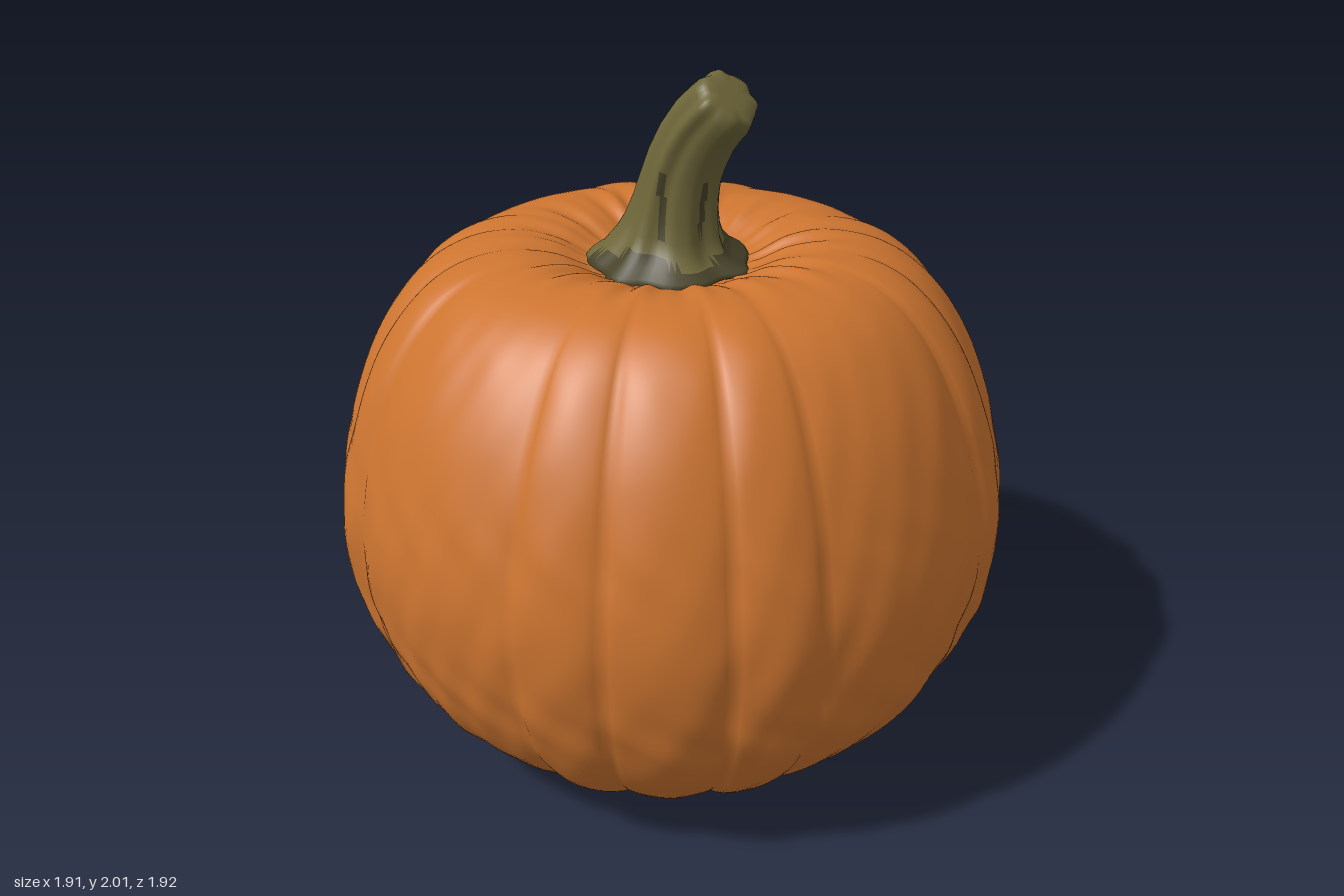
import * as THREE from 'three';
import { mergeVertices } from 'three/addons/utils/BufferGeometryUtils.js';

const V2 = (p) => new THREE.Vector2(p[0], p[1]);
const bell = (x, centre, width) => Math.exp(-(((x - centre) / width) ** 2));

// Smooth closed lathe whose vertices are moved by a rule (position, angle)
function sculpt(points, segments, rule) {
  let geo = new THREE.LatheGeometry(points, segments);
  geo.deleteAttribute('uv');
  geo.deleteAttribute('normal');
  geo = mergeVertices(geo, 1e-5);
  const pos = geo.attributes.position;
  const v = new THREE.Vector3();
  for (let i = 0; i < pos.count; i++) {
    v.fromBufferAttribute(pos, i);
    rule(v, Math.atan2(v.x, v.z));
    pos.setXYZ(i, v.x, v.y, v.z);
  }
  geo.computeVertexNormals();
  return geo;
}

// Four broad lobes with three narrow ones between each pair
const GROOVES = [-20, 20, 35, 55, 70];
function lobe(angle) {
  let deg = (((angle * 180) / Math.PI) % 90 + 90) % 90;
  if (deg >= 70) deg -= 90;
  let k = 0;
  while (k < 3 && deg >= GROOVES[k + 1]) k++;
  const t = (deg - GROOVES[k]) / (GROOVES[k + 1] - GROOVES[k]);
  const round = Math.pow(Math.max(0, Math.sin(Math.PI * t)), 0.6);
  return round * (k === 0 ? 0.014 : 0.026);
}

function bodyGeometry() {
  const profile = new THREE.SplineCurve([
    [0, 0.07], [0.12, 0.068], [0.22, 0.06], [0.32, 0.03], [0.44, 0.01],
    [0.61, 0.08], [0.77, 0.23], [0.87, 0.39], [0.925, 0.58], [0.94, 0.78],
    [0.9, 1.0], [0.82, 1.22], [0.71, 1.385], [0.59, 1.475], [0.45, 1.51],
    [0.33, 1.495], [0.23, 1.45], [0.12, 1.43], [0, 1.43],
  ].map(V2));
  return sculpt(profile.getPoints(130), 288, (v, a) => {
    const r = Math.hypot(v.x, v.z);
    if (r < 1e-4) return;
    const side = v.y > 0.76 ? 1 : -1;
    const bulge = lobe(a) * THREE.MathUtils.smoothstep(r, 0.2, 0.75);
    // Shallow dents, rougher towards the bottom
    const rough = (0.0016 + 0.002 * bell(v.y, 0.45, 0.35)) * THREE.MathUtils.smoothstep(r, 0.4, 0.8);
    const dents = rough * (Math.sin(23 * a + 9 * v.y + 2 * Math.sin(13 * v.y))
      + Math.sin(37 * a - 17 * v.y + 2 * Math.sin(5 * a)) * 0.7);
    // Radial creases running into the hollows
    const crease = 0.006 * bell(r, 0.34, 0.13)
      * (Math.sin(20 * a + 2 * Math.sin(3 * a)) + 0.5 * Math.sin(33 * a + 1));
    const s = (r + bulge + dents) / r;
    v.x *= s;
    v.z *= s;
    v.y += side * (crease + bulge * 0.4 * (1 - r / 0.95));
  });
}

function stemGeometry() {
  const path = new THREE.CatmullRomCurve3([
    [-0.01, 1.44], [0, 1.52], [0.022, 1.63], [0.058, 1.75], [0.125, 1.86], [0.222, 1.955],
  ].map(([x, y]) => new THREE.Vector3(x, y, 0)));
  // Radius against distance along the path, with a blunt rounded tip
  const profile = [
    [0.215, 0], [0.228, 0.015], [0.215, 0.04], [0.18, 0.08], [0.15, 0.14], [0.132, 0.21],
    [0.118, 0.31], [0.11, 0.42], [0.104, 0.54], [0.1, 0.66], [0.096, 0.78], [0.092, 0.88],
    [0.09, 0.94], [0.082, 0.98], [0.068, 0.997], [0.04, 1], [0, 1],
  ].map(V2);
  const c = new THREE.Vector3();
  const tan = new THREE.Vector3();
  return sculpt(profile, 72, (v, a) => {
    const t = v.y;
    path.getPointAt(t, c);
    path.getTangentAt(t, tan);
    const rib = 1 + 0.055 * Math.sin(7 * a + 0.8 + 0.8 * t) + 0.025 * Math.sin(11 * a + 2 * t);
    const x = v.x * rib;
    const z = v.z * rib;
    v.set(c.x + tan.y * x, c.y - tan.x * x, z);
    // Keep the base flare level
    if (t < 0.12) v.y = THREE.MathUtils.lerp(c.y, v.y, t / 0.12);
  });
}

// Sort faces into two material groups
function splitFaces(geo, isDark) {
  const idx = geo.index.array;
  const pos = geo.attributes.position;
  const lists = [[], []];
  const m = new THREE.Vector3();
  const v = new THREE.Vector3();
  for (let i = 0; i < idx.length; i += 3) {
    m.set(0, 0, 0);
    for (let j = 0; j < 3; j++) m.add(v.fromBufferAttribute(pos, idx[i + j]));
    m.divideScalar(3);
    lists[isDark(m) ? 1 : 0].push(idx[i], idx[i + 1], idx[i + 2]);
  }
  geo.setIndex([...lists[0], ...lists[1]]);
  geo.addGroup(0, lists[0].length, 0);
  geo.addGroup(lists[0].length, lists[1].length, 1);
  return geo;
}

export function createModel() {
  const material = (name, color) => {
    const m = new THREE.MeshStandardMaterial({ color });
    m.name = name;
    return m;
  };
  const orange = material('orange skin', 0xcc7430);
  const olive = material('olive stem', 0x6e6639);
  const darkOlive = material('dark olive', 0x48432a);

  const group = new THREE.Group();
  group.name = 'pumpkin';
  const add = (name, geo, mat) => {
    const mesh = new THREE.Mesh(geo, mat);
    mesh.name = name;
    group.add(mesh);
    return mesh;
  };

  add('body', bodyGeometry(), orange);

  // Stem with a dark collar and a few dark furrows
  const stem = splitFaces(stemGeometry(), (p) => {
    const a = Math.atan2(p.x, p.z);
    const collar = p.y > 1.445 && p.y < 1.495 + 0.02 * Math.sin(3 * a + 1) && a > -2.6 + 0.5 * Math.sin(9 * p.y)
      && !(a > -2 && a < -0.7);
    const furrow = p.y > 1.56 && p.y < 1.72 && Math.sin(7 * a + 0.8) < -0.85 && p.x > 0;
    return collar || furrow;
  });
  add('stem', stem, [olive, darkOlive]);

  // Blossom scar in the hollow underneath
  const scar = sculpt([[0, 0.05], [0.06, 0.053], [0.14, 0.056], [0.2, 0.052], [0.225, 0.054], [0.2, 0.075], [0, 0.075]].map(V2), 64, (v, a) => {
    const s = 1 + 0.04 * Math.sin(7 * a) + 0.025 * Math.sin(12 * a + 1);
    v.x *= s;
    v.z *= s;
  });
  add('blossomScar', scar, darkOlive);

  return group;
}
